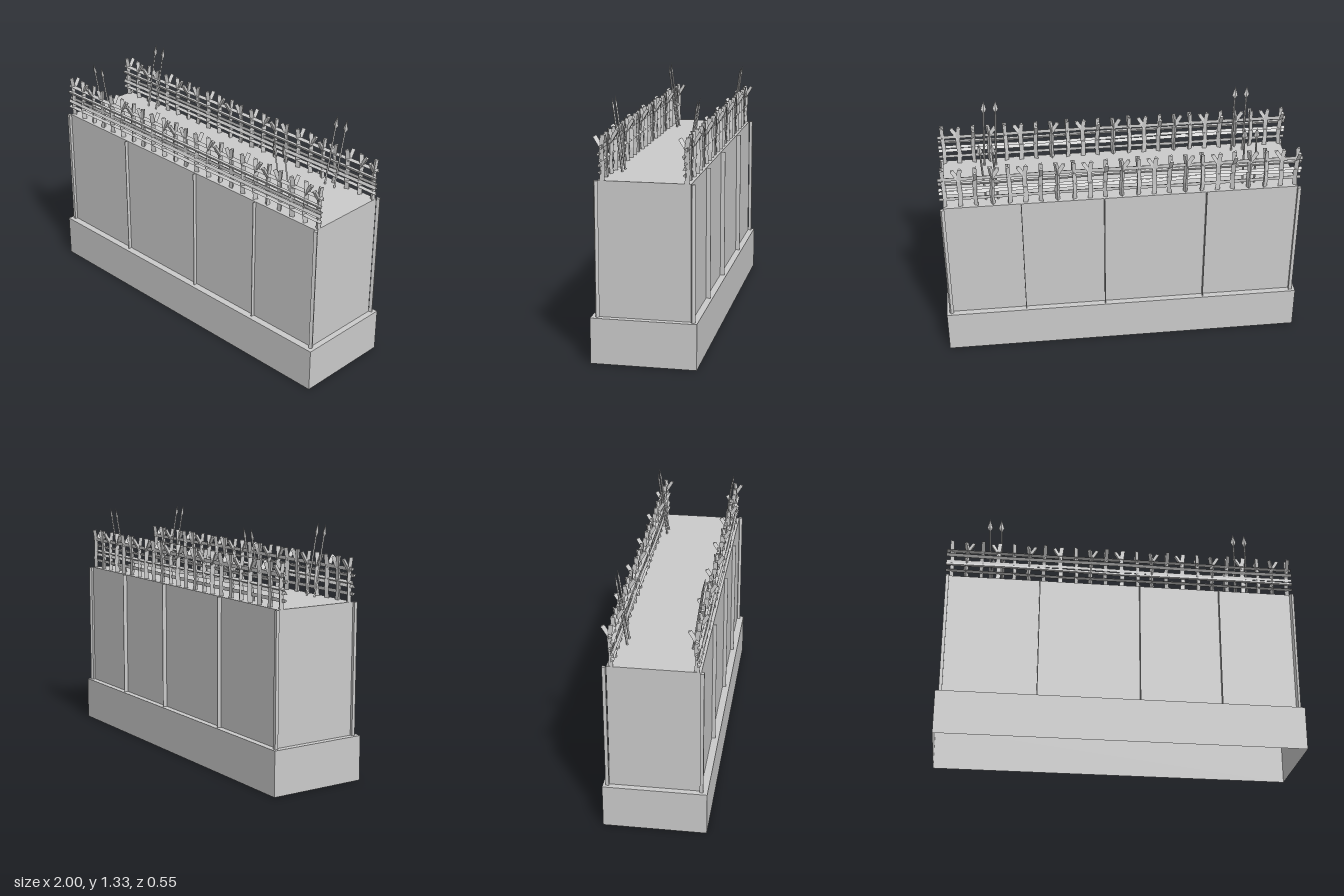
import * as THREE from 'three';

const FENCE_Z = 0.212, FENCE_SHIFT = -0.43, WALL_TOP = 0.948, PLINTH_TOP = 0.242;
const mat = new THREE.MeshStandardMaterial({ color: 0xcccccc, flatShading: true });
const openMat = new THREE.MeshStandardMaterial({ color: 0xcccccc, flatShading: true, side: THREE.DoubleSide });

function add(parent, name, geo, x = 0, y = 0, z = 0, material = mat) {
  const mesh = new THREE.Mesh(geo, material);
  mesh.name = name;
  mesh.position.set(x, y, z);
  parent.add(mesh);
  return mesh;
}

// Capped rod between two points
function rod(parent, name, a, b, rTop, rBottom, sides) {
  const dir = b.clone().sub(a);
  const mesh = add(parent, name, new THREE.CylinderGeometry(rTop, rBottom, dir.length(), sides));
  mesh.position.copy(a).add(b).multiplyScalar(0.5);
  mesh.quaternion.setFromUnitVectors(new THREE.Vector3(0, 1, 0), dir.normalize());
  return mesh;
}

// Crooked three-sided stick: a prism whose rings are shifted sideways
function stickGeometry(radius, length, segments, thetaStart, bend) {
  const geo = new THREE.CylinderGeometry(radius * 0.95, radius, length, 3, segments, false, thetaStart);
  geo.translate(0, length / 2, 0);
  const p = geo.attributes.position;
  for (let i = 0; i < p.count; i++) {
    const [dx, dz] = bend(p.getY(i) / length);
    p.setX(i, p.getX(i) + dx);
    p.setZ(i, p.getZ(i) + dz);
  }
  geo.computeVertexNormals();
  return geo;
}

// Forked picket, its branch pointing to -z before turning
function makePicket() {
  const picket = new THREE.Group();
  picket.name = 'picket';
  const h = 1.178 - WALL_TOP;
  add(picket, 'picketStem', stickGeometry(0.0145, h, 4, Math.PI / 2,
    t => [0.003 * Math.sin(t * 5), 0.004 * Math.sin(t * 7) + 0.005 * t * t]));
  rod(picket, 'picketBranch', new THREE.Vector3(0, 0.158, 0.002),
    new THREE.Vector3(0, 0.222, -0.037), 0.0125, 0.0125, 3);
  return picket;
}

function makeFence() {
  const fence = new THREE.Group();
  fence.name = 'fence';
  // Pickets, each turned a quarter from the last
  for (let i = 0; i < 23; i++) {
    const picket = makePicket();
    picket.position.set(-0.957 + i * 0.0871, WALL_TOP, 0);
    picket.rotation.y = -i * Math.PI / 2;
    fence.add(picket);
  }
  // Rails across the pickets: [left y, right y, z, radius]
  const rails = [
    [1.12, 1.122, 0.002, 0.012], [1.088, 1.08, 0.012, 0.011], [1.05, 1.046, 0.004, 0.011],
    [1.028, 1.024, 0.012, 0.011], [0.99, 0.992, 0.008, 0.011],
  ];
  rails.forEach(([y0, y1, z, r], k) => {
    const geo = stickGeometry(r, 1.97, 6, k * Math.PI / 2,
      t => [(y0 - y1) * t + 0.002 * Math.sin(t * 9 + k), 0.003 * Math.sin(t * 11 + k * 2)]);
    add(fence, 'rail', geo, -0.985, y0, z).rotation.z = -Math.PI / 2;
  });
  return fence;
}

// Spear with a flat leaf-shaped head, leaning against a fence
function makeSpear(from, to) {
  const spear = new THREE.Group();
  spear.name = 'spear';
  const len = from.distanceTo(to);
  rod(spear, 'spearShaft', new THREE.Vector3(), new THREE.Vector3(0, len - 0.05, 0), 0.005, 0.006, 4);
  const profile = [[0, -0.07], [0.006, -0.068], [0.016, -0.052], [0, 0]];
  const head = add(spear, 'spearHead',
    new THREE.LatheGeometry(profile.map(p => new THREE.Vector2(...p)), 4), 0, len, 0);
  head.scale.z = 0.4;
  spear.position.copy(from);
  spear.quaternion.setFromUnitVectors(new THREE.Vector3(0, 1, 0), to.clone().sub(from).normalize());
  return spear;
}

export function createModel() {
  const model = new THREE.Group();
  model.name = 'fortifiedWall';

  // Plinth, hollow and open underneath (bottom face dropped)
  const plinth = new THREE.BoxGeometry(2, PLINTH_TOP, 0.55);
  const index = Array.from(plinth.index.array);
  index.splice(18, 6);
  plinth.setIndex(index);
  plinth.clearGroups();
  add(model, 'plinth', plinth, 0, PLINTH_TOP / 2, 0, openMat);

  // Wall body
  const wallH = WALL_TOP - PLINTH_TOP, wallY = (WALL_TOP + PLINTH_TOP) / 2;
  add(model, 'wall', new THREE.BoxGeometry(1.935, wallH, 0.476), 0, wallY, -0.002);

  // Narrow upright battens on both faces, thicker at the corners
  for (const z of [0.243, -0.251]) {
    for (const x of [-0.46, 0.1, 0.55]) {
      add(model, 'batten', new THREE.BoxGeometry(0.004, wallH, 0.026), x, wallY, z);
    }
    for (const s of [-1, 1]) {
      const post = add(model, 'cornerBatten', new THREE.BoxGeometry(0.018, wallH, 0.018), s * 0.973, wallY, z);
      if (s > 0) post.rotation.y = 0.5;
    }
  }

  // Two identical fences along the wall top
  for (const z of [FENCE_Z, FENCE_Z + FENCE_SHIFT]) {
    const fence = makeFence();
    fence.position.z = z;
    model.add(fence);
  }

  // Spears in pairs near each end, leaning outward
  const v = (x, y, z) => new THREE.Vector3(x, y, z);
  for (const x of [-0.735, -0.67, 0.67, 0.735]) {
    model.add(makeSpear(v(x, WALL_TOP, 0.165), v(x - 0.018, 1.332, 0.22)));
    model.add(makeSpear(v(x, WALL_TOP, -0.174), v(x + 0.018, 1.332, -0.231)));
  }
  return model;
}
